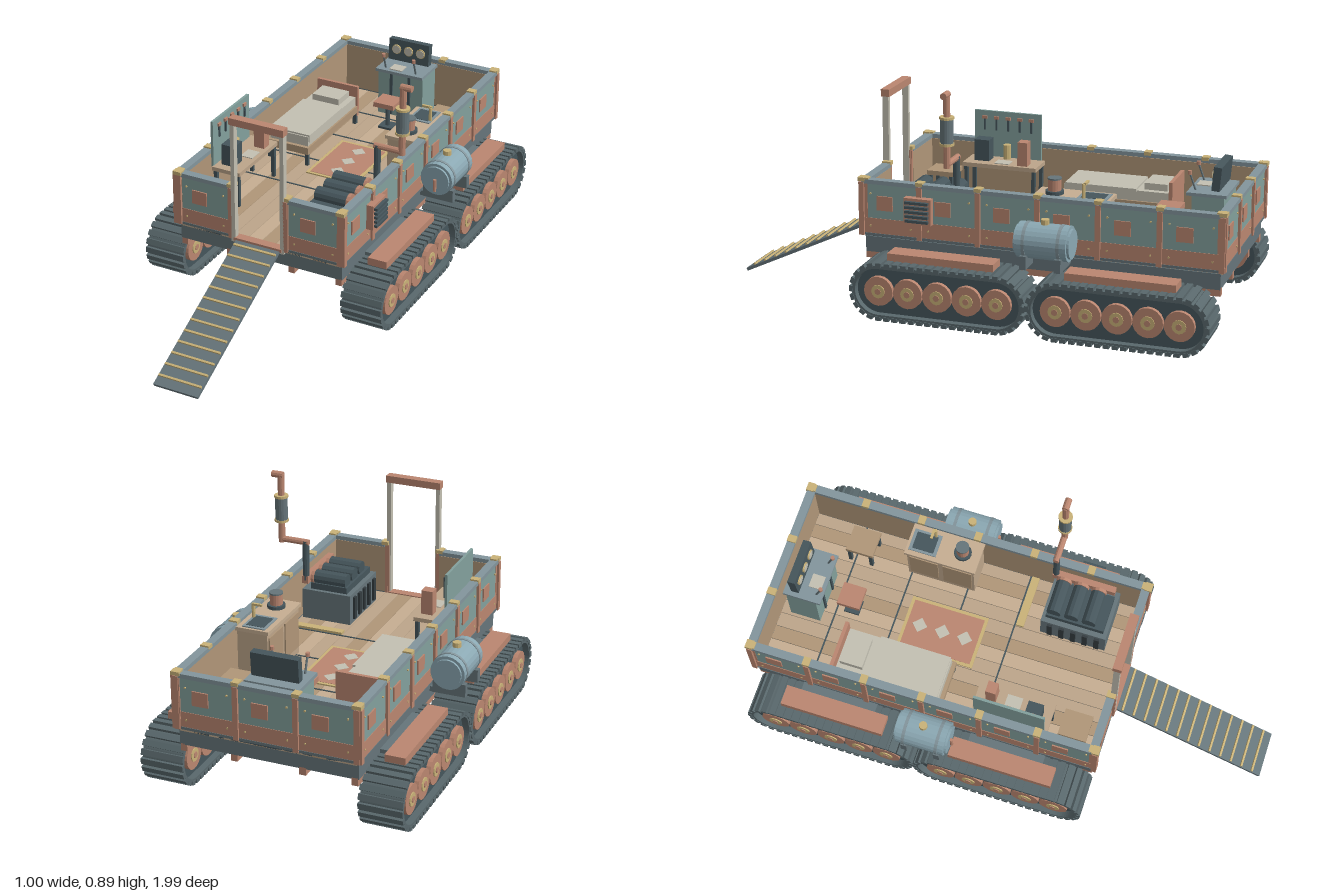
import * as THREE from 'three';

const mat = (color) => new THREE.MeshStandardMaterial({ color, flatShading: true });
const M = {
  teal: mat(0x83a09c), copper: mat(0xba8670), tan: mat(0xbda58a), tan2: mat(0xb09678), tan3: mat(0xc6ae92),
  brass: mat(0xc9b278), dark: mat(0x46565c), steel: mat(0x66757a), rail: mat(0x83959c), tank: mat(0x8ba8b3),
  cream: mat(0xc3c0b2), black: mat(0x343c40), track: mat(0x59686c),
};

export function createModel() {
  const root = new THREE.Group();
  root.name = 'trackedPlatform';

  const group = (name, parent = root) => {
    const g = new THREE.Group();
    g.name = name;
    parent.add(g);
    return g;
  };
  const add = (name, geo, m, x, y, z, parent = root) => {
    const mesh = new THREE.Mesh(geo, m);
    mesh.name = name;
    mesh.position.set(x, y, z);
    parent.add(mesh);
    return mesh;
  };
  // Box given by its size and centre
  const box = (name, m, w, h, d, x, y, z, parent) => add(name, new THREE.BoxGeometry(w, h, d), m, x, y, z, parent);
  // Cylinder along axis 'x', 'y' or 'z'
  const cyl = (name, m, r, len, axis, x, y, z, parent, seg = 16) => {
    const g = new THREE.CylinderGeometry(r, r, len, seg);
    if (axis === 'x') g.rotateZ(Math.PI / 2);
    if (axis === 'z') g.rotateX(Math.PI / 2);
    return add(name, g, m, x, y, z, parent);
  };
  const legs = (name, m, w, d, y0, y1, x, z, parent, t = 0.014) => {
    for (const sx of [-1, 1]) for (const sz of [-1, 1])
      box(name, m, t, y1 - y0, t, x + sx * (w - t) / 2, (y0 + y1) / 2, z + sz * (d - t) / 2, parent);
  };

  // Chassis, underframe and planked floor
  const hull = group('chassis');
  box('chassisSlab', M.steel, 0.68, 0.06, 1.35, 0, 0.26, -0.3, hull);
  box('underside', M.black, 0.64, 0.01, 1.33, 0, 0.229, -0.3, hull);
  for (const x of [-0.325, -0.13, 0.13, 0.325]) box('underRail', M.copper, 0.025, 0.03, 1.35, x, 0.22, -0.3, hull);
  for (let i = 0; i < 5; i++) box('crossBeam', M.steel, 0.64, 0.01, 0.02, 0, 0.225, 0.15 - i * 0.225, hull);
  const plank = [M.tan, M.tan2, M.tan3];
  for (let i = 0; i < 12; i++)
    box('floorPlank', plank[(i * 5 + (i >> 2)) % 3], 0.054, 0.014, 1.36, -0.308 + i * 0.056, 0.293, -0.3, hull);
  box('floorSeamBase', M.dark, 0.67, 0.008, 1.36, 0, 0.291, -0.3, hull);
  for (const z of [-0.76, -0.53, -0.3, -0.08]) box('floorSeam', M.dark, 0.66, 0.003, 0.006, 0, 0.301, z, hull);

  // One wall run along local x, outside facing local +z
  const wall = (name, length, count, x, z, turn) => {
    const w = group(name);
    w.position.set(x, 0, z);
    w.rotation.y = turn;
    box('upperPanel', M.teal, length, 0.14, 0.018, 0, 0.43, 0, w);
    box('lowerBand', M.copper, length, 0.06, 0.022, 0, 0.335, 0, w);
    box('innerLining', M.tan2, length, 0.19, 0.004, 0, 0.4, -0.012, w);
    box('sill', M.steel, length, 0.01, 0.026, 0, 0.302, 0, w);
    box('topRail', M.rail, length, 0.016, 0.032, 0, 0.505, 0, w);
    const step = length / count;
    for (let i = 0; i <= count; i++) {
      const px = -length / 2 + i * step;
      box('post', M.copper, 0.02, 0.205, 0.032, px, 0.4, 0.003, w);
      box('postCap', M.brass, 0.028, 0.014, 0.034, px, 0.512, 0, w);
      if (i === count) break;
      box('patch', M.copper, 0.062, 0.055, 0.006, px + step * 0.4, 0.425, 0.011, w);
      for (const sx of [0.15, 0.85]) for (const y of [0.335, 0.46])
        cyl('rivet', M.brass, 0.004, 0.005, 'z', px + step * sx, y, 0.011, w, 6);
    }
  };
  wall('leftWall', 1.365, 6, 0.34, -0.298, Math.PI / 2);
  wall('rightWall', 1.365, 6, -0.34, -0.298, -Math.PI / 2);
  wall('rearWall', 0.68, 3, 0, -0.975, Math.PI);
  for (const s of [-1, 1]) wall('frontWall', 0.225, 1, s * 0.2275, 0.375, 0);

  // Gate and boarding ramp
  const gate = group('gate');
  for (const s of [-1, 1]) {
    box('gatePost', M.cream, 0.016, 0.49, 0.024, s * 0.102, 0.53, 0.383, gate);
    box('gateFoot', M.copper, 0.022, 0.21, 0.03, s * 0.11, 0.4, 0.38, gate);
  }
  box('gateBeam', M.copper, 0.224, 0.028, 0.034, 0, 0.782, 0.383, gate);
  box('threshold', M.copper, 0.2, 0.012, 0.035, 0, 0.298, 0.38, gate);
  const ramp = group('ramp');
  ramp.position.set(0, 0.299, 0.39);
  ramp.rotation.x = 0.4437;
  box('rampDeck', M.steel, 0.182, 0.012, 0.67, 0, -0.006, 0.335, ramp);
  for (let i = 0; i < 13; i++) box('rampCleat', M.brass, 0.176, 0.008, 0.008, 0, 0.003, 0.03 + i * 0.05, ramp);

  // Track units: belt, treads, road wheels and fender
  const stadium = (shape, r, half) => {
    shape.absarc(half, 0, r, -Math.PI / 2, Math.PI / 2, false);
    shape.absarc(-half, 0, r, Math.PI / 2, Math.PI * 1.5, false);
    shape.closePath();
    return shape;
  };
  const half = 0.228, R = 0.101;
  const extrude = (shape, depth) => {
    const g = new THREE.ExtrudeGeometry(shape, { depth, bevelEnabled: false, curveSegments: 14 });
    return g.translate(0, 0, -depth / 2).rotateY(Math.PI / 2);
  };
  const beltShape = stadium(new THREE.Shape(), R, half);
  beltShape.holes.push(stadium(new THREE.Path(), 0.089, half));
  const beltGeo = extrude(beltShape, 0.16);
  const coreGeo = extrude(stadium(new THREE.Shape(), 0.088, half), 0.11);
  const treadGeo = new THREE.BoxGeometry(0.166, 0.015, 0.022);
  const arc = Math.PI * R, loop = 2 * arc + 4 * half;
  const trackUnit = (x, z) => {
    const t = group('trackUnit');
    t.position.set(x, 0.132, z);
    add('belt', beltGeo, M.track, 0, 0, 0, t);
    add('trackCore', coreGeo, M.dark, 0, 0, 0, t);
    const n = 48;
    for (let i = 0; i < n; i++) {
      let s = (i / n) * loop, a = 0, cz;
      if (s < 2 * half) cz = -half + s;
      else if ((s -= 2 * half) < arc) { cz = half; a = s / R; }
      else if ((s -= arc) < 2 * half) { cz = half - s; a = Math.PI; }
      else { cz = -half; a = Math.PI + (s - 2 * half) / R; }
      const tread = add('tread', treadGeo, M.track, 0, Math.cos(a) * 0.104, cz + Math.sin(a) * 0.104, t);
      tread.rotation.x = a;
    }
    for (let i = -2; i <= 2; i++) {
      cyl('wheelRim', M.steel, 0.08, 0.13, 'x', 0, 0, i * 0.114, t, 20).scale.setScalar(0.7);
      cyl('roadWheel', M.copper, 0.056, 0.146, 'x', 0, 0, i * 0.114, t, 20);
      cyl('hub', M.brass, 0.026, 0.154, 'x', 0, 0, i * 0.114, t, 12);
      cyl('axleBolt', M.copper, 0.012, 0.16, 'x', 0, 0, i * 0.114, t, 8);
    }
    box('fender', M.copper, 0.078, 0.03, 0.41, 0, 0.124, 0, t);
    box('trackMount', M.steel, 0.1, 0.05, 0.3, -Math.sign(x) * 0.09, 0.1, 0, t);
  };
  for (const s of [-1, 1]) for (const z of [0.04, -0.638]) trackUnit(s * 0.4175, z);

  // Side fuel tanks
  for (const [x, z] of [[0.42, -0.35], [-0.425, -0.265]]) {
    const t = group('fuelTank');
    t.position.set(x, 0.37, z);
    cyl('tankBody', M.tank, 0.066, 0.19, 'z', 0, 0, 0, t, 24);
    cyl('tankEnds', M.tank, 0.055, 0.208, 'z', 0, 0, 0, t, 24);
    for (const d of [-0.065, 0.065]) {
      box('cradle', M.steel, 0.126, 0.05, 0.024, 0, -0.07, d, t);
      cyl('strap', M.rail, 0.068, 0.012, 'z', 0, 0, d, t, 24);
    }
    box('wallBracket', M.steel, 0.05, 0.02, 0.15, -Math.sign(x) * 0.05, -0.085, 0, t);
    cyl('fillerCap', M.brass, 0.016, 0.022, 'y', 0, 0.072, 0, t, 10);
    cyl('levelGauge', M.copper, 0.007, 0.05, 'y', 0, -0.02, 0.108, t, 8);
  }

  // Engine, louvred vent and exhaust
  const engine = group('engine');
  box('engineBlock', M.steel, 0.2, 0.12, 0.26, 0.22, 0.36, 0.152, engine);
  box('engineHead', M.dark, 0.15, 0.03, 0.23, 0.215, 0.43, 0.152, engine);
  for (let i = 0; i < 3; i++) {
    cyl('engineCylinder', M.dark, 0.028, 0.13, 'x', 0.213, 0.462, 0.065 + i * 0.07, engine, 12);
    cyl('cylinderBand', M.copper, 0.03, 0.012, 'x', 0.285, 0.462, 0.065 + i * 0.07, engine, 12);
  }
  for (let i = 0; i < 5; i++) box('coolingFin', M.black, 0.01, 0.09, 0.02, 0.116, 0.36, 0.06 + i * 0.047, engine);
  box('manifold', M.copper, 0.025, 0.03, 0.25, 0.305, 0.462, 0.14, engine);
  const vent = group('sideVent');
  box('ventFrame', M.copper, 0.028, 0.1, 0.105, 0.366, 0.415, 0.155, vent);
  for (let i = 0; i < 5; i++) box('louvre', M.dark, 0.014, 0.01, 0.09, 0.386, 0.38 + i * 0.0175, 0.155, vent);
  const ex = group('exhaust');
  const ez = 0.027;
  cyl('riser', M.dark, 0.013, 0.16, 'y', 0.305, 0.54, ez, ex, 10);
  cyl('crossPipe', M.copper, 0.012, 0.12, 'x', 0.352, 0.615, ez, ex, 10);
  cyl('stack', M.copper, 0.013, 0.275, 'y', 0.405, 0.74, ez, ex, 10);
  cyl('muffler', M.steel, 0.024, 0.1, 'y', 0.405, 0.74, ez, ex, 16);
  for (const y of [0.692, 0.79]) cyl('mufflerBand', M.brass, 0.027, 0.009, 'y', 0.405, y, ez, ex, 16);
  cyl('outlet', M.copper, 0.013, 0.045, 'x', 0.418, 0.876, ez, ex, 10);

  // Control console and stool
  const con = group('console');
  box('consoleBody', M.teal, 0.2, 0.2, 0.12, 0, 0.4, -0.865, con);
  box('consoleTop', M.rail, 0.21, 0.012, 0.15, 0, 0.5, -0.86, con);
  for (const s of [-1, 1]) box('consoleTrim', M.dark, 0.012, 0.19, 0.008, s * 0.04, 0.4, -0.803, con);
  const panel = box('gaugePanel', M.dark, 0.18, 0.09, 0.03, 0, 0.56, -0.893, con);
  panel.rotation.x = -0.08;
  for (const x of [-0.054, 0, 0.054]) {
    cyl('gaugeRim', M.brass, 0.02, 0.006, 'z', x, 0.565, -0.876, con, 16);
    cyl('gaugeFace', M.cream, 0.017, 0.008, 'z', x, 0.565, -0.875, con, 16);
  }
  box('notes', M.cream, 0.055, 0.004, 0.05, -0.022, 0.508, -0.825, con);
  for (const x of [-0.07, 0.065]) {
    cyl('lever', M.steel, 0.004, 0.07, 'y', x, 0.535, -0.8, con, 6).rotation.x = 0.35;
    cyl('leverKnob', M.copper, 0.008, 0.014, 'y', x, 0.57, -0.788, con, 8);
  }
  const stool = group('stool');
  box('stoolSeat', M.copper, 0.09, 0.02, 0.09, -0.004, 0.41, -0.7, stool);
  cyl('stoolPost', M.dark, 0.01, 0.1, 'y', -0.004, 0.35, -0.7, stool, 8);
  box('stoolFoot', M.dark, 0.06, 0.01, 0.06, -0.004, 0.304, -0.7, stool);

  // Rug with three diamonds
  const rug = group('rug');
  box('rugBorder', M.brass, 0.215, 0.005, 0.31, 0, 0.303, -0.338, rug);
  box('rugField', M.copper, 0.19, 0.007, 0.285, 0, 0.303, -0.338, rug);
  for (const z of [-0.43, -0.338, -0.247]) box('rugDiamond', M.cream, 0.043, 0.009, 0.043, 0, 0.303, z, rug).rotation.y = Math.PI / 4;

  // Bed
  const bed = group('bed');
  box('bedFrame', M.tan2, 0.185, 0.03, 0.44, -0.218, 0.365, -0.455, bed);
  legs('bedLeg', M.dark, 0.18, 0.43, 0.3, 0.36, -0.218, -0.455, bed);
  box('headboard', M.copper, 0.185, 0.13, 0.014, -0.218, 0.4, -0.67, bed);
  box('mattress', M.cream, 0.17, 0.04, 0.41, -0.218, 0.4, -0.455, bed);
  box('blanket', M.cream, 0.178, 0.03, 0.28, -0.218, 0.412, -0.395, bed);
  box('pillow', M.cream, 0.12, 0.028, 0.09, -0.218, 0.432, -0.605, bed);

  // Workbench, tool board and seat
  const desk = group('workbench');
  box('benchTop', M.tan, 0.12, 0.016, 0.3, -0.255, 0.44, 0.035, desk);
  legs('benchLeg', M.dark, 0.11, 0.29, 0.3, 0.435, -0.255, 0.035, desk);
  box('toolBoard', M.teal, 0.01, 0.19, 0.275, -0.317, 0.537, 0.038, desk);
  for (let i = 0; i < 5; i++) {
    box('hangingTool', M.dark, 0.008, 0.05, 0.008, -0.31, 0.58, -0.06 + i * 0.048, desk);
    box('toolHead', M.copper, 0.01, 0.012, 0.02, -0.31, 0.606, -0.06 + i * 0.048, desk);
  }
  box('copperBox', M.copper, 0.045, 0.095, 0.04, -0.233, 0.495, -0.055, desk);
  box('vise', M.dark, 0.055, 0.085, 0.06, -0.264, 0.49, 0.12, desk);
  cyl('lamp', M.brass, 0.016, 0.06, 'y', -0.296, 0.475, 0.035, desk, 10);
  box('plan', M.cream, 0.05, 0.003, 0.06, -0.235, 0.45, 0.03, desk);

  // Small chairs
  for (const [x, z] of [[-0.235, 0.275], [0.23, -0.735]]) {
    const c = group('crateSeat');
    box('seatTop', M.tan2, 0.105, 0.018, 0.11, x, 0.395, z, c);
    legs('seatLeg', M.dark, 0.1, 0.1, 0.3, 0.39, x, z, c);
  }

  // Galley cabinet with sink and stove
  const galley = group('galley');
  box('cabinet', M.tan, 0.12, 0.19, 0.27, 0.262, 0.395, -0.408, galley);
  box('counter', M.tan3, 0.132, 0.014, 0.285, 0.26, 0.495, -0.408, galley);
  for (const z of [-0.475, -0.34]) box('cabinetDoor', M.tan2, 0.006, 0.14, 0.115, 0.2, 0.4, z, galley);
  box('sinkRim', M.rail, 0.09, 0.006, 0.11, 0.258, 0.503, -0.485, galley);
  box('sinkBasin', M.dark, 0.07, 0.008, 0.085, 0.258, 0.503, -0.485, galley);
  cyl('tap', M.brass, 0.007, 0.06, 'y', 0.297, 0.53, -0.455, galley, 8);
  box('tapSpout', M.brass, 0.04, 0.008, 0.01, 0.28, 0.56, -0.46, galley);
  cyl('burner', M.dark, 0.034, 0.014, 'y', 0.262, 0.508, -0.335, galley);
  cyl('pot', M.copper, 0.024, 0.045, 'y', 0.262, 0.535, -0.335, galley);
  cyl('potLid', M.steel, 0.026, 0.006, 'y', 0.262, 0.56, -0.335, galley);

  // Storage shelf on the left side
  box('wallShelf', M.brass, 0.22, 0.01, 0.03, 0.225, 0.305, -0.06);
  return root;
}
